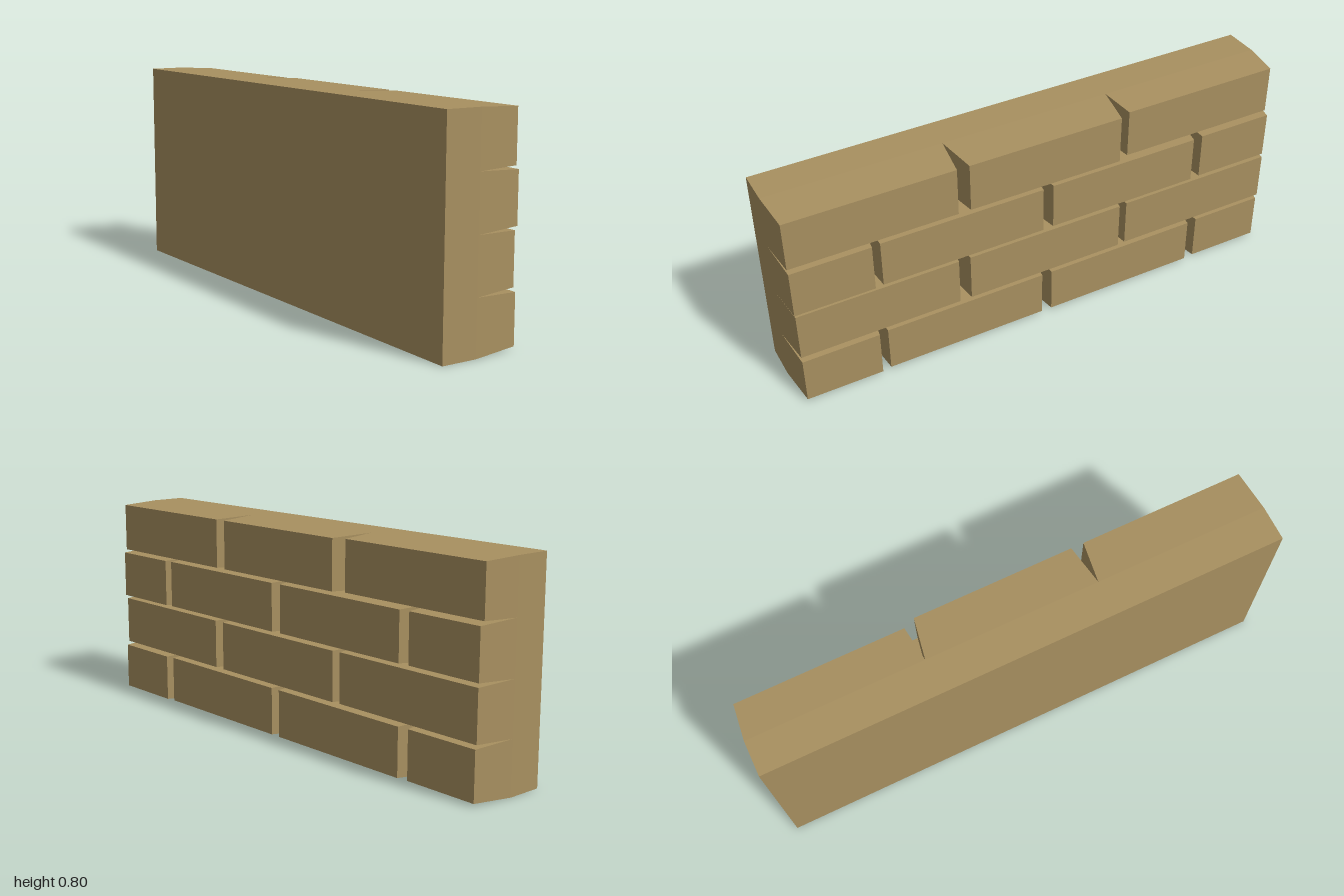
import * as THREE from 'three';

const BACK = -0.155, SEAM = -0.02, ROW = 0.2;
const material = new THREE.MeshStandardMaterial({ color: 0xa89060, flatShading: true });

// Box whose unneeded inner face (0 = +x, 1 = -x) is left out
function openBox(w, h, d, skip) {
  const geo = new THREE.BoxGeometry(w, h, d);
  const index = Array.from(geo.index.array);
  index.splice(skip * 6, 6);
  geo.setIndex(index);
  geo.clearGroups();
  return geo;
}

// Brick filling its cell at the seam and tapering to a smaller front face
function brickGeometry(cell, face, depth) {
  const geo = openBox(1, 1, 1, 1);
  const p = geo.attributes.position;
  for (let i = 0; i < p.count; i++) {
    const front = p.getX(i) > 0;
    const r = front ? face : cell;
    p.setXYZ(i, front ? depth : SEAM, p.getY(i) > 0 ? r.y1 : r.y0, p.getZ(i) > 0 ? r.z1 : r.z0);
  }
  geo.computeVertexNormals();
  return geo;
}

// Courses from the bottom up: joints between cells, face height range,
// and for each brick [face z max, face z min, face x]
const wide = [1, 1 / 3, -1 / 3, -1];
const offset = [1, 2 / 3, 0, -2 / 3, -1];
const courses = [
  { joints: offset, y: [0.011, 0.192],
    bricks: [[0.985, 0.692, 0.152], [0.657, 0.022, 0.145], [-0.019, -0.642, 0.145], [-0.684, -0.98, 0.14]] },
  { joints: wide, y: [0.208, 0.395],
    bricks: [[0.984, 0.365, 0.144], [0.319, -0.314, 0.144], [-0.346, -0.985, 0.14]] },
  { joints: offset, y: [0.409, 0.592],
    bricks: [[0.988, 0.689, 0.15], [0.657, 0.019, 0.145], [-0.024, -0.637, 0.142], [-0.678, -0.985, 0.138]] },
  { joints: wide, y: [0.605, 0.793],
    bricks: [[0.988, 0.356, 0.14], [0.308, -0.305, 0.14], [-0.35, -0.985, 0.12]] },
];

export function createModel() {
  const wall = new THREE.Group();
  wall.name = 'brickWall';

  // Plain backing slab
  const height = ROW * courses.length;
  const slab = new THREE.Mesh(openBox(SEAM - BACK, height, 2, 0), material);
  slab.name = 'backingSlab';
  slab.position.set((SEAM + BACK) / 2, height / 2, 0);
  wall.add(slab);

  // Staggered courses of bricks
  courses.forEach(({ joints, y, bricks }, row) => {
    const course = new THREE.Group();
    course.name = `course${row + 1}`;
    bricks.forEach(([z1, z0, depth], i) => {
      const cell = { y0: row * ROW, y1: (row + 1) * ROW, z0: joints[i + 1], z1: joints[i] };
      const face = { y0: y[0], y1: y[1], z0, z1 };
      const brick = new THREE.Mesh(brickGeometry(cell, face, depth), material);
      brick.name = `brick${i + 1}`;
      course.add(brick);
    });
    wall.add(course);
  });
  return wall;
}
